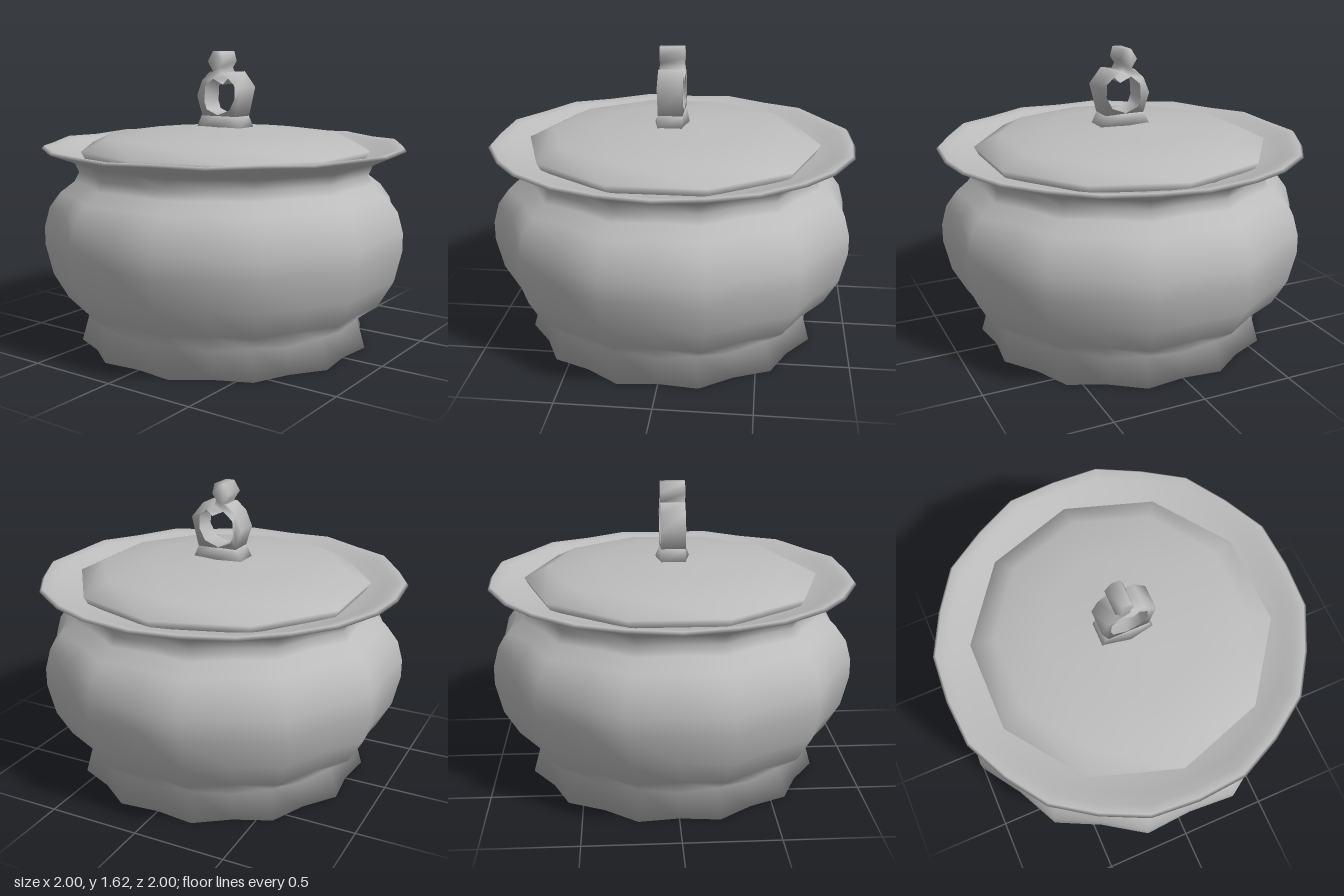
import * as THREE from 'three';
import { mergeVertices } from 'three/addons/utils/BufferGeometryUtils.js';

const grey = new THREE.MeshStandardMaterial({ color: 0xbcbcbc, side: THREE.DoubleSide });
grey.name = 'plain grey';

function addMesh(parent, name, geometry) {
  const mesh = new THREE.Mesh(geometry, grey);
  mesh.name = name;
  parent.add(mesh);
  return mesh;
}

// Welds the vertices so that the whole surface is shaded smoothly.
function smooth(geometry) {
  geometry.deleteAttribute('uv');
  geometry.deleteAttribute('normal');
  const merged = mergeVertices(geometry, 1e-4);
  merged.computeVertexNormals();
  return merged;
}

// Scalloped turning: rows are [lobe radius, lobe y, dent radius, dent y]; lobes and dents alternate.
function scalloped(rows, lobes) {
  const geo = new THREE.LatheGeometry(rows.map(r => new THREE.Vector2(r[0], r[1])), lobes * 2);
  const pos = geo.attributes.position;
  for (let i = 0; i < pos.count; i++) {
    const column = Math.floor(i / rows.length) % (lobes * 2);
    const [rl, yl, rd, yd] = rows[i % rows.length];
    const a = column * Math.PI / lobes;
    const lobe = column % 2 === 1;
    const r = lobe ? rl : rd;
    pos.setXYZ(i, Math.sin(a) * r, lobe ? yl : yd, Math.cos(a) * r);
  }
  return smooth(geo);
}

function createModel() {
  const pot = new THREE.Group();
  pot.name = 'lidded pot';

  // Closed flared foot, round belly, neck and dished wavy rim in one turning
  addMesh(pot, 'potBody', scalloped([
    [0, 0, 0, 0],
    [0.82, 0, 0.77, 0],
    [0.775, 0.16, 0.745, 0.135],
    [0.89, 0.25, 0.845, 0.25],
    [0.97, 0.39, 0.92, 0.39],
    [1.01, 0.56, 0.958, 0.56],
    [1.01, 0.66, 0.958, 0.66],
    [0.98, 0.77, 0.93, 0.77],
    [0.92, 0.85, 0.87, 0.85],
    [0.84, 0.91, 0.795, 0.91],
    [0.815, 0.96, 0.775, 0.96],
    [0.84, 1.015, 0.80, 1.015],
    [0.93, 1.057, 0.90, 1.05],
    [1.015, 1.095, 1.00, 1.085],
    [1.00, 1.11, 0.985, 1.10],
    [0.95, 1.098, 0.935, 1.09],
    [0.89, 1.075, 0.88, 1.07],
    [0.82, 1.048, 0.80, 1.048],
    [0.74, 1.03, 0.72, 1.03],
  ], 12));

  // Ten-sided shallow domed lid
  const lidProfile = [[0.79, 1.04], [0.815, 1.085], [0.68, 1.15], [0.42, 1.178], [0.15, 1.2], [0, 1.204]];
  addMesh(pot, 'lid', smooth(new THREE.LatheGeometry(
    lidProfile.map(p => new THREE.Vector2(...p)), 10, Math.PI / 2)));

  // Loop handle, cut from a side outline given as [z, y]
  const handle = new THREE.Group();
  handle.name = 'lidHandle';
  pot.add(handle);
  const outline = [
    [0.12, 1.26], [0.16, 1.42], [0.09, 1.505], [0.025, 1.495], [0.01, 1.525], [0.035, 1.56], [0.02, 1.615],
    [-0.03, 1.615], [-0.065, 1.56], [-0.03, 1.505], [-0.05, 1.505], [-0.105, 1.455], [-0.14, 1.37], [-0.105, 1.26],
  ];
  const opening = [
    [0.08, 1.295], [0.115, 1.36], [0.112, 1.43], [0.07, 1.468], [0.035, 1.435], [-0.03, 1.465],
    [-0.085, 1.42], [-0.09, 1.34], [-0.075, 1.295], [0, 1.265],
  ];
  const toPoints = list => list.map(([z, y]) => new THREE.Vector2(-z, y));
  const shape = new THREE.Shape(toPoints(outline));
  shape.holes.push(new THREE.Path(toPoints(opening)));
  const loop = new THREE.ExtrudeGeometry(shape, { depth: 0.135, bevelEnabled: false });
  loop.rotateY(Math.PI / 2);
  loop.translate(-0.073, 0, 0);
  addMesh(handle, 'handleLoop', smooth(loop));

  // Six-sided tapered base under the loop, widest in the middle
  const base = new THREE.BoxGeometry(1, 0.07, 1, 1, 1, 2);
  const pos = base.attributes.position;
  for (let i = 0; i < pos.count; i++) {
    const top = pos.getY(i) > 0;
    const middle = pos.getZ(i) === 0;
    pos.setX(i, Math.sign(pos.getX(i)) * (!top && middle ? 0.097 : 0.067));
    pos.setZ(i, Math.sign(pos.getZ(i)) * (top ? 0.113 : 0.147));
  }
  base.translate(-0.005, 1.228, 0.004);
  addMesh(handle, 'handleBase', smooth(base));

  return pot;
}

export { createModel };
